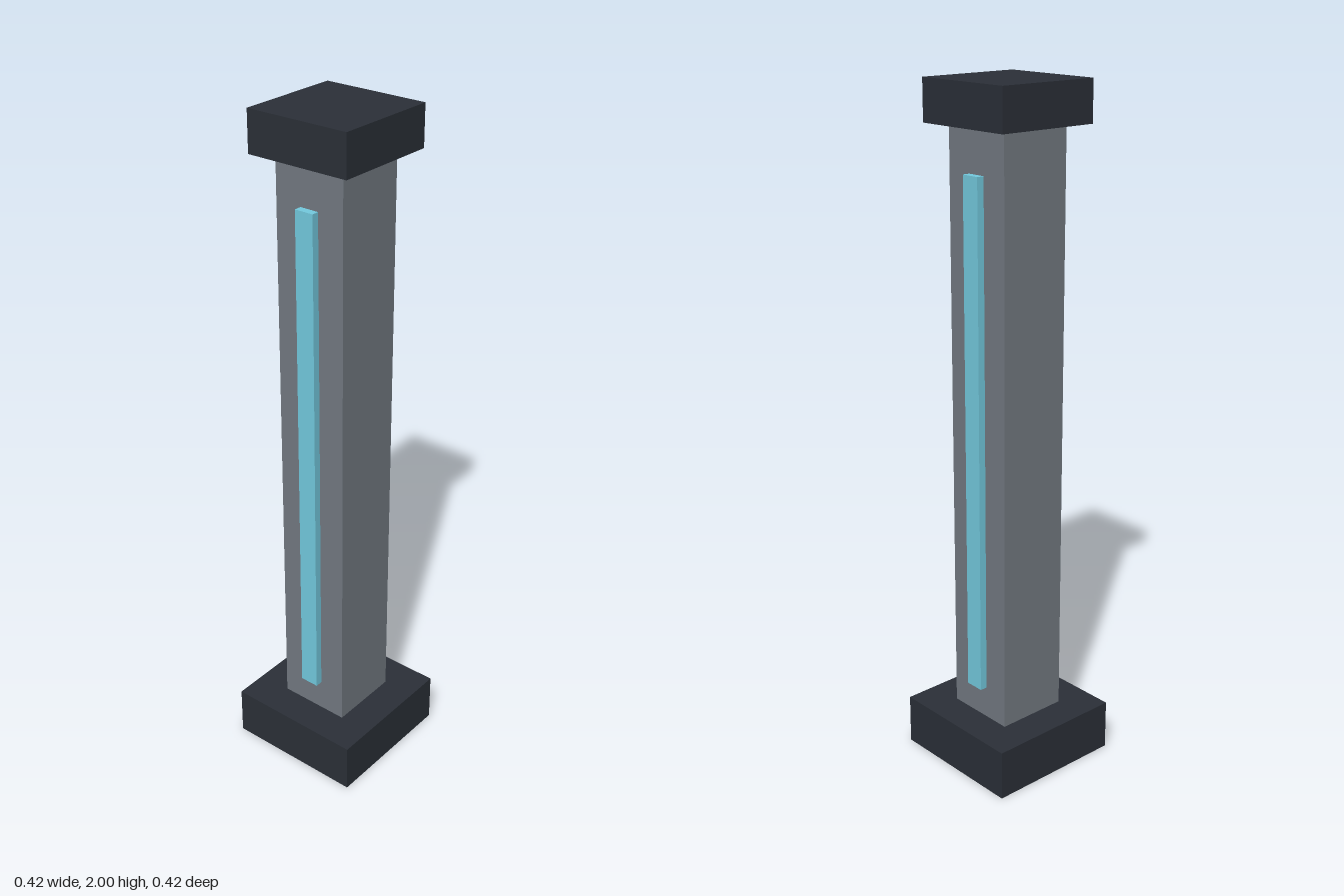
import * as THREE from 'three';

export function createModel() {
  const group = new THREE.Group();
  const dark = new THREE.MeshStandardMaterial({ color: 0x2b3038 });
  const grey = new THREE.MeshStandardMaterial({ color: 0x737a82 });
  const cyan = new THREE.MeshStandardMaterial({ color: 0x74cbe0 });

  // Box standing between two heights
  function addBox(name, material, width, depth, bottom, top, z = 0) {
    const mesh = new THREE.Mesh(new THREE.BoxGeometry(width, top - bottom, depth), material);
    mesh.name = name;
    mesh.position.set(0, (bottom + top) / 2, z);
    group.add(mesh);
  }

  addBox('base', dark, 0.424, 0.424, 0, 0.15);
  addBox('shaft', grey, 0.22, 0.22, 0.15, 1.882);
  addBox('cap', dark, 0.317, 0.317, 1.882, 2);

  // Light strips on the front and back faces
  addBox('frontLightStrip', cyan, 0.058, 0.03, 0.247, 1.758, 0.117);
  addBox('backLightStrip', cyan, 0.058, 0.03, 0.247, 1.758, -0.117);

  return group;
}
